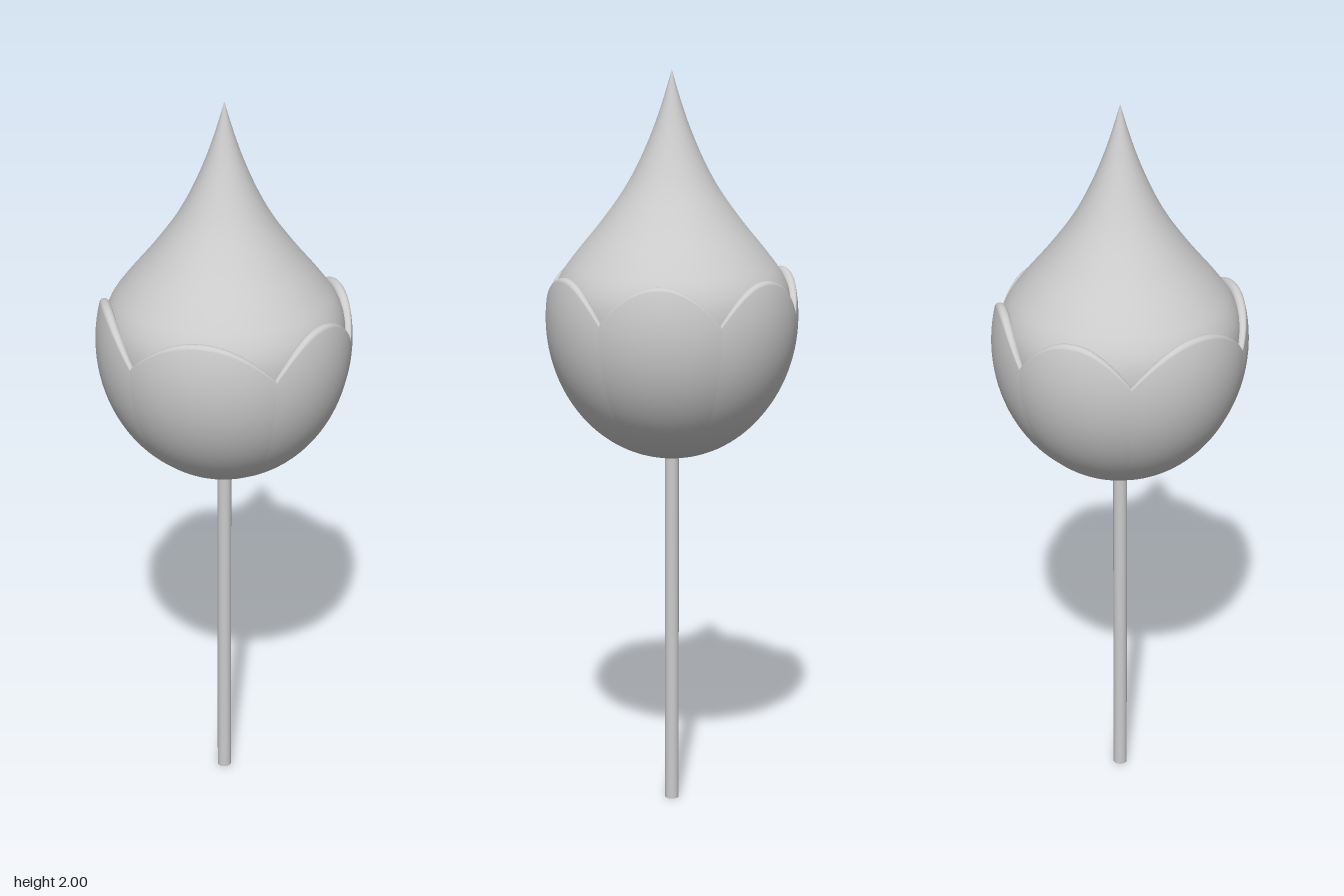
import * as THREE from 'three';
import { ParametricGeometry } from 'three/addons/geometries/ParametricGeometry.js';

const material = new THREE.MeshStandardMaterial({ color: 0xcccccc, side: THREE.DoubleSide });

// Seams between petals, in degrees from the front towards the left side
const SEAMS = [0, 57, 113, 169, 224, 291, 360];
const RADIUS = 0.338, MID_Y = 1.35, HALF_HEIGHT = 0.38;

// A petal is a cupped shell: up the outside, round the rim, down the inside
function petalGeometry(from, to) {
  const surface = (s, v, target) => {
    const u = 2 * s - 1;
    const angle = THREE.MathUtils.degToRad(THREE.MathUtils.lerp(from, to, s));
    const half = 0.014 * (1 - 0.45 * u * u);
    const rimY = 1.477 - 0.104 * Math.pow(Math.abs(u), 2.1) - half;
    const low = -Math.PI / 2 + 0.03;
    const top = Math.asin((rimY - MID_Y) / HALF_HEIGHT);
    let phi, offset;
    if (v < 0.5) {
      phi = offset = THREE.MathUtils.lerp(low, top, v / 0.5);
    } else if (v < 0.75) {
      phi = top;
      offset = top + Math.PI * (v - 0.5) / 0.25;
    } else {
      phi = THREE.MathUtils.lerp(top, -0.5, (v - 0.75) / 0.25);
      offset = phi + Math.PI;
    }
    const bulge = 1 - 0.012 * u * u;
    const r = (RADIUS - half) * bulge * Math.cos(phi) + half * Math.cos(offset);
    const y = MID_Y + (HALF_HEIGHT - half) * Math.sin(phi) + half * Math.sin(offset);
    target.set(r * Math.sin(angle), y, r * Math.cos(angle));
  };
  return new ParametricGeometry(surface, 28, 64);
}

export function createModel() {
  const model = new THREE.Group();
  model.name = 'flowerBud';
  const add = (geometry, name, parent = model) => {
    const mesh = new THREE.Mesh(geometry, material);
    mesh.name = name;
    parent.add(mesh);
    return mesh;
  };

  // Thin straight stem
  add(new THREE.CylinderGeometry(0.019, 0.019, 1.0, 20), 'stem').position.y = 0.5;

  // Closed inner bud, drawn out to a point
  const profile = new THREE.SplineCurve([
    [0, 1.0], [0.15, 1.05], [0.245, 1.13], [0.292, 1.22], [0.314, 1.32], [0.316, 1.4],
    [0.297, 1.46], [0.255, 1.52], [0.19, 1.6], [0.132, 1.68], [0.092, 1.75],
    [0.056, 1.83], [0.027, 1.91], [0, 2],
  ].map(([x, y]) => new THREE.Vector2(x, y)));
  const points = profile.getPoints(70).map((p) => p.setX(Math.max(0, p.x)));
  add(new THREE.LatheGeometry(points, 64), 'bud');

  // Ring of six outer petals
  const petals = new THREE.Group();
  petals.name = 'petals';
  model.add(petals);
  for (let i = 0; i < 6; i++) {
    add(petalGeometry(SEAMS[i], SEAMS[i + 1]), `petal${i + 1}`, petals);
  }
  return model;
}
